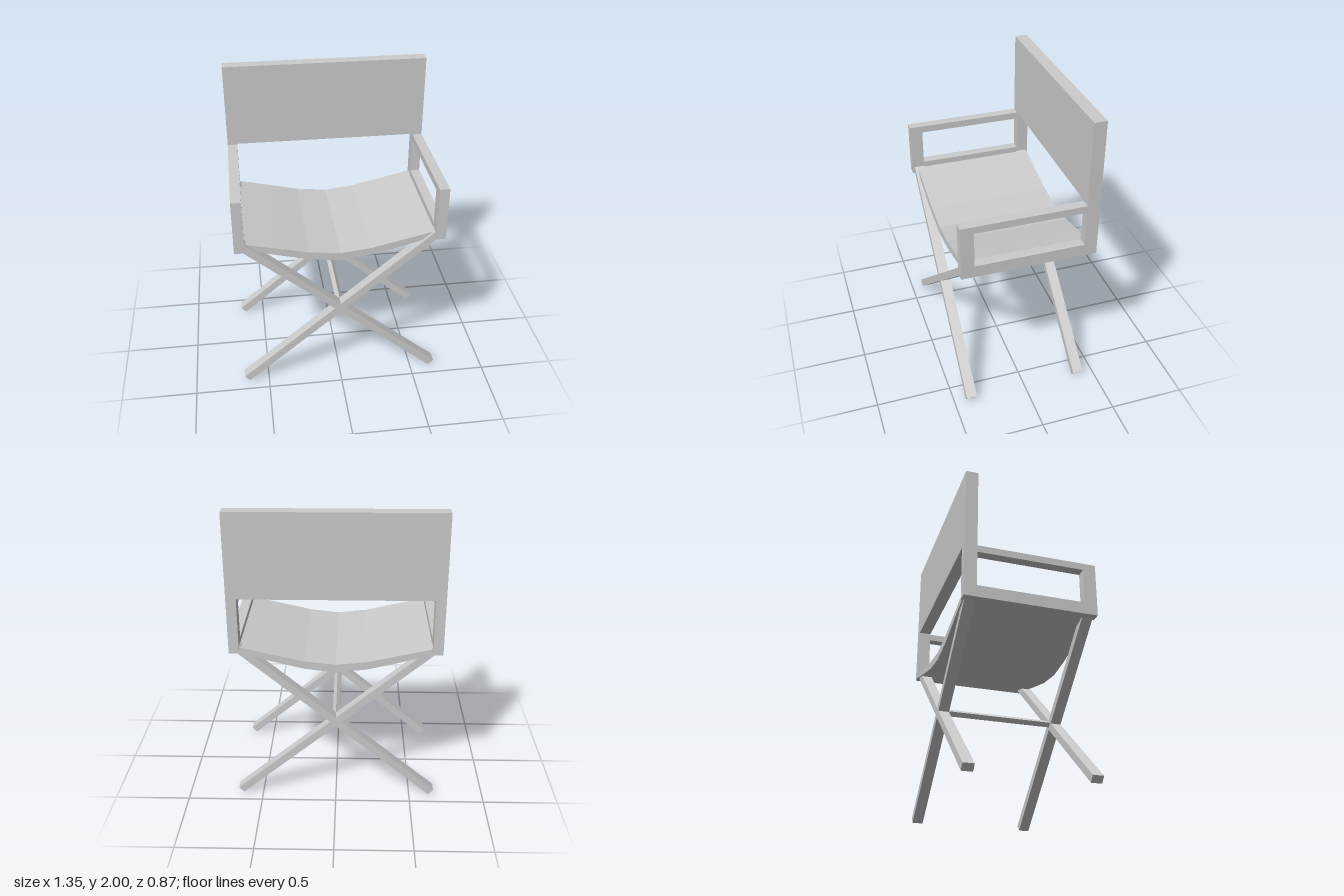
import * as THREE from 'three';

const material = new THREE.MeshStandardMaterial({ color: 0xcccccc, flatShading: true });

function add(group, name, geometry) {
  const mesh = new THREE.Mesh(geometry, material);
  mesh.name = name;
  group.add(mesh);
  return mesh;
}

// Box given by its two extreme corners
function box(group, name, [x0, y0, z0], [x1, y1, z1]) {
  const mesh = add(group, name, new THREE.BoxGeometry(x1 - x0, y1 - y0, z1 - z0));
  mesh.position.set((x0 + x1) / 2, (y0 + y1) / 2, (z0 + z1) / 2);
  return mesh;
}

export function createModel() {
  const chair = new THREE.Group();
  chair.name = 'foldingChair';
  const inner = 0.61, outer = 0.675;
  const zBack = -0.437, zFront = 0.437;

  // Side frames: L-shaped outline with a window under the armrest
  const outline = new THREE.Shape([
    [zFront, 1.08], [zFront, 1.445], [-0.355, 1.445], [-0.355, 2], [zBack, 2], [zBack, 1.08],
  ].map(([z, y]) => new THREE.Vector2(-z, y)));
  outline.holes.push(new THREE.Path([
    [0.352, 1.16], [-0.355, 1.16], [-0.355, 1.398], [0.352, 1.398],
  ].map(([z, y]) => new THREE.Vector2(-z, y))));
  for (const [name, x] of [['leftArmFrame', inner], ['rightArmFrame', -outer]]) {
    const frame = new THREE.ExtrudeGeometry(outline, { depth: outer - inner, bevelEnabled: false });
    frame.rotateY(Math.PI / 2);
    add(chair, name, frame).position.x = x;
  }

  // Backrest panel between the posts
  box(chair, 'backrest', [-inner, 1.45, zBack], [inner, 2, -0.355]);

  // Sagging seat: faceted strip extruded from back to front
  const top = [[-0.61, 1.12], [-0.4, 1.072], [-0.2, 1.026], [0, 1.004], [0.2, 1.026], [0.4, 1.072], [0.61, 1.12]];
  const bottom = [[0.61, 1.08], [0.4, 1.023], [0.2, 0.973], [0, 0.95], [-0.2, 0.973], [-0.4, 1.023], [-0.61, 1.08]];
  const section = new THREE.Shape([...top, ...bottom].map(([x, y]) => new THREE.Vector2(x, y)));
  const seat = new THREE.ExtrudeGeometry(section, { depth: 0.83, bevelEnabled: false });
  add(chair, 'seat', seat).position.z = -0.43;

  // Crossed legs, front and back
  const crossY = 0.575, tilt = Math.atan2(0.553, 0.65);
  for (const [end, z] of [['front', 0.385], ['back', -0.385]]) {
    for (const side of [1, -1]) {
      const leg = add(chair, end + (side > 0 ? 'RisingLeftLeg' : 'RisingRightLeg'),
        new THREE.BoxGeometry(1.706, 0.05, 0.07));
      leg.position.set(0, crossY, z);
      leg.rotation.z = side * tilt;
    }
  }

  // Rod joining the two leg crossings
  const rod = add(chair, 'crossRod', new THREE.BoxGeometry(0.034, 0.034, 0.72));
  rod.position.set(0, 0.583, 0);
  rod.rotation.z = tilt;

  return chair;
}
